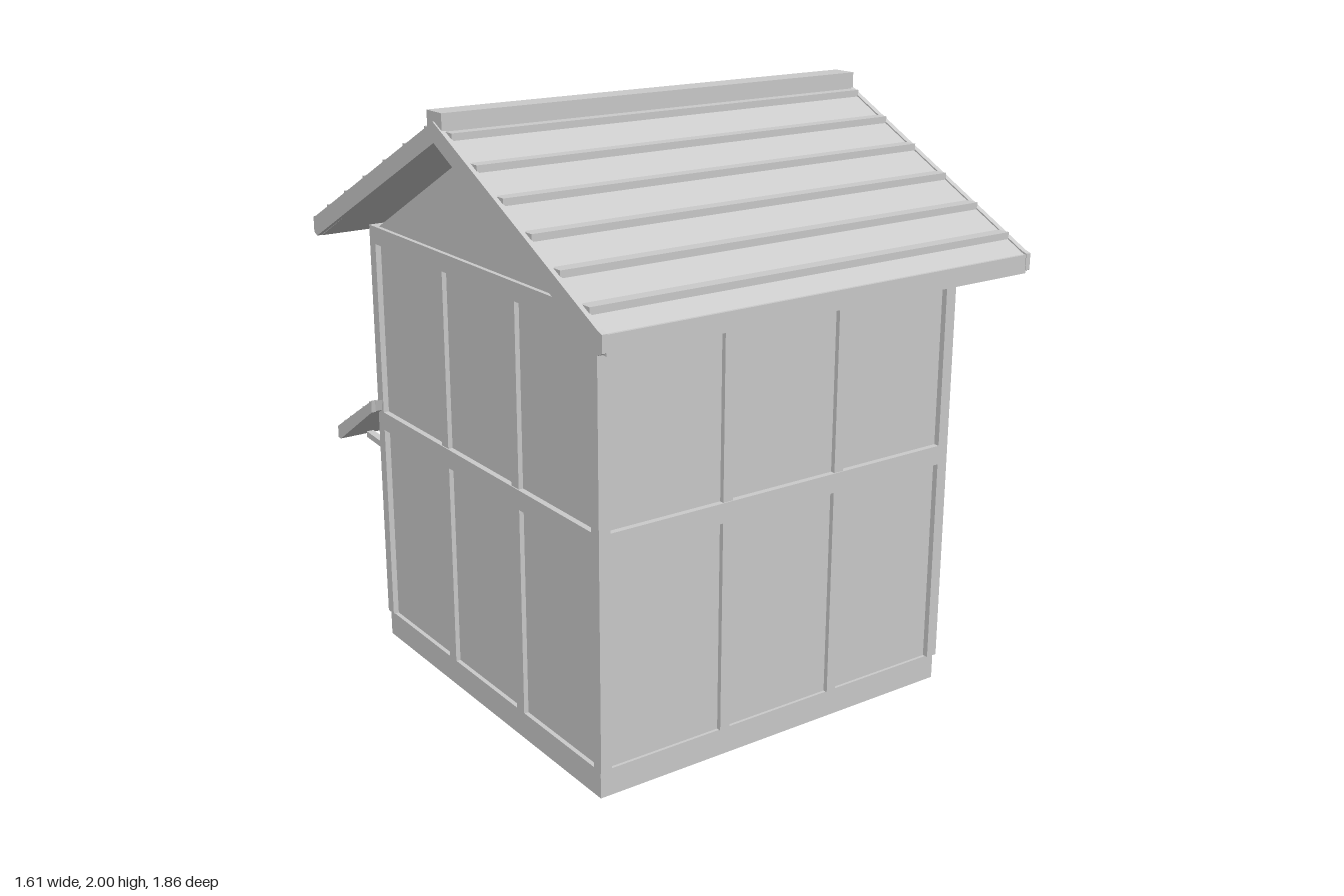
import * as THREE from 'three';

const mat = new THREE.MeshStandardMaterial({ color: 0xcccccc, flatShading: true });
const ZC = 0.03;          // centre of the house in z
const BACK = -0.67;       // outer plane of the shop-side wall
const HX = 0.69, HZ = 0.70;

export function createModel() {
  const root = new THREE.Group();
  const group = (name) => {
    const g = new THREE.Group();
    g.name = name;
    root.add(g);
    return g;
  };
  // box given by its minimum and maximum on each axis
  const box = (parent, name, x0, x1, y0, y1, z0, z1) => {
    const m = new THREE.Mesh(new THREE.BoxGeometry(x1 - x0, y1 - y0, z1 - z0), mat);
    m.position.set((x0 + x1) / 2, (y0 + y1) / 2, (z0 + z1) / 2);
    m.name = name;
    parent.add(m);
    return m;
  };
  // (z, y) outline extruded along x
  const extrudeX = (parent, name, pts, x0, x1) => {
    const shape = new THREE.Shape(pts.map(([z, y]) => new THREE.Vector2(z, y)));
    const geo = new THREE.ExtrudeGeometry(shape, { depth: x1 - x0, bevelEnabled: false });
    geo.rotateY(-Math.PI / 2);
    geo.translate(x1, 0, 0);
    const m = new THREE.Mesh(geo, mat);
    m.name = name;
    parent.add(m);
  };
  // rectangular frame on the back wall with vertical panes
  const framed = (name, x0, x1, y0, y1, t, panes, railHeights = []) => {
    const g = group(name);
    const za = BACK - 0.012, zb = BACK + 0.025;
    box(g, 'frameTop', x0, x1, y1 - t, y1, za, zb);
    box(g, 'frameBottom', x0, x1, y0, y0 + t, za, zb);
    box(g, 'frameSide', x0, x0 + t, y0 + t, y1 - t, za, zb);
    box(g, 'frameSide', x1 - t, x1, y0 + t, y1 - t, za, zb);
    box(g, 'glass', x0 + t, x1 - t, y0 + t, y1 - t, BACK + 0.008, zb);
    const w = (x1 - x0 - 2 * t) / panes;
    for (let i = 1; i < panes; i++) {
      const x = x0 + t + w * i;
      box(g, 'mullion', x - 0.006, x + 0.006, y0 + t, y1 - t, BACK - 0.004, zb);
    }
    for (const y of railHeights)
      box(g, 'rail', x0 + t, x1 - t, y - 0.006, y + 0.006, BACK - 0.006, zb);
  };

  // plinth and wall core
  box(root, 'plinth', -0.685, 0.685, 0, 0.09, ZC - 0.69, ZC + 0.69);
  box(root, 'walls', -HX + 0.02, HX - 0.02, 0.09, 1.515, ZC - HZ + 0.02, ZC + HZ - 0.02);

  // timber frame
  const frame = group('timberFrame');
  for (const s of [-1, 1]) {
    for (const t of [-1, 1]) {
      const x = s * (HX - 0.02), z = ZC + t * (HZ - 0.02);
      box(frame, 'cornerPost', x - 0.02, x + 0.02, 0.09, 1.52, z - 0.02, z + 0.02);
    }
    for (const p of [0.255, -0.193])
      box(frame, 'sidePost', s * 0.675 - 0.011, s * 0.675 + 0.011, 0.09, 1.46, p - 0.022, p + 0.022);
    box(frame, 'frontPost', s * 0.22 - 0.018, s * 0.22 + 0.018, 0.09, 1.46, 0.70, 0.726);
    box(frame, 'upperBackPost', s * 0.45 - 0.022, s * 0.45 + 0.022, 0.86, 1.46, BACK - 0.004, BACK + 0.03);
    box(frame, 'lowerBackPost', s * 0.31 - 0.018, s * 0.31 + 0.018, 0.09, 0.79, BACK - 0.006, BACK + 0.03);
  }
  for (const [y0, y1] of [[0.795, 0.86], [1.46, 1.52]]) {
    for (const t of [-1, 1]) {
      const z = ZC + t * (HZ - 0.013);
      box(frame, 'crossBeam', -HX, HX, y0, y1, z - 0.013, z + 0.013);
      const x = t * (HX - 0.013);
      box(frame, 'sideBeam', x - 0.013, x + 0.013, y0, y1, ZC - HZ, ZC + HZ);
    }
  }

  // gable under the roof
  extrudeX(root, 'gable', [[-0.635, 1.515], [0.70, 1.515], [0.033, 1.87]], -0.675, 0.675);

  // main roof with stepped battens
  const roof = group('roof');
  const RZ = 0.033;
  const topY = (d) => 1.965 - 0.497 * d;
  const half = [[0.87, 1.465], [0.89, 1.475], [0.89, topY(0.89)]];
  for (const d of [0.815, 0.672, 0.525, 0.375, 0.23, 0.085]) {
    const flat = topY(d - 0.045);
    half.push([d, topY(d)], [d, flat], [d - 0.045, flat]);
  }
  const mirrored = (pts, apexTop, apexBottom) => [
    ...pts.map(([d, y]) => [RZ + d, y]), [RZ, apexTop],
    ...pts.map(([d, y]) => [RZ - d, y]).reverse(), [RZ, apexBottom]];
  extrudeX(roof, 'roofSlab', mirrored(half, 1.965, 1.915), -0.79, 0.79);
  const barge = [[0.875, 1.465], [0.897, 1.475], [0.897, 1.528], [0.875, 1.535]];
  for (const x of [-0.805, 0.787])
    extrudeX(roof, 'bargeBoard', mirrored(barge, 1.97, 1.907), x, x + 0.018);
  for (const s of [-1, 1])
    box(roof, 'fascia', -0.79, 0.79, 1.465, 1.525, RZ + s * 0.885 - 0.01, RZ + s * 0.885 + 0.01);
  box(roof, 'ridgeCap', -0.80, 0.80, 1.945, 2.0, RZ - 0.045, RZ + 0.045);

  // porch roof with its own battens
  const porch = group('porchRoof');
  const pTop = (z) => 0.905 + 0.6 * (z + 0.635);
  const outline = [[-0.645, 0.865], [-0.635, pTop(-0.635)]];
  for (const z of [-0.69, -0.745, -0.80, -0.855, -0.905]) {
    const flat = pTop(z + 0.028);
    outline.push([z + 0.028, flat], [z, flat], [z, pTop(z)]);
  }
  outline.push([-0.928, 0.728], [-0.928, 0.69], [-0.91, 0.69]);
  extrudeX(porch, 'porchSlab', outline, -0.715, 0.715);
  for (const x of [-0.73, 0.712])
    extrudeX(porch, 'porchBarge', [[-0.645, 0.862], [-0.638, 0.908], [-0.93, 0.733],
      [-0.93, 0.69], [-0.91, 0.69]], x, x + 0.018);
  for (const x of [0.63, 0.21, -0.21, -0.63]) {
    const b = box(porch, 'bracket', x - 0.013, x + 0.013, 0.682, 0.704, -0.875, -0.66);
    b.rotation.x = 0.06;
  }
  box(root, 'ledge', -0.66, 0.66, 0.92, 0.95, -0.681, -0.65);

  // shop side: upper window, sliding doors, slatted panels, small window
  framed('upperWindow', -0.305, 0.305, 0.98, 1.40, 0.03, 4);
  framed('slidingDoors', -0.27, 0.27, 0.12, 0.78, 0.022, 4);
  const slats = group('slats');
  for (const s of [-1, 1]) {
    box(slats, 'sill', s * 0.49 - 0.16, s * 0.49 + 0.16, 0.09, 0.13, BACK - 0.004, BACK + 0.03);
    for (let i = 0; i < 8; i++) {
      const x = s * (0.36 + i * 0.037);
      const behindWindow = s < 0 && x < -0.40 && x > -0.58;
      const spans = behindWindow ? [[0.13, 0.38], [0.70, 0.79]] : [[0.13, 0.79]];
      for (const [y0, y1] of spans)
        box(slats, 'slat', x - 0.009, x + 0.009, y0, y1, BACK - 0.006, BACK + 0.03);
    }
  }
  framed('smallWindow', -0.57, -0.41, 0.38, 0.70, 0.022, 1, [0.54]);
  for (const x of [0.29, -0.29])
    box(root, 'doorJamb', x - 0.008, x + 0.008, 0.18, 0.69, -0.69, BACK + 0.03);

  return root;
}
